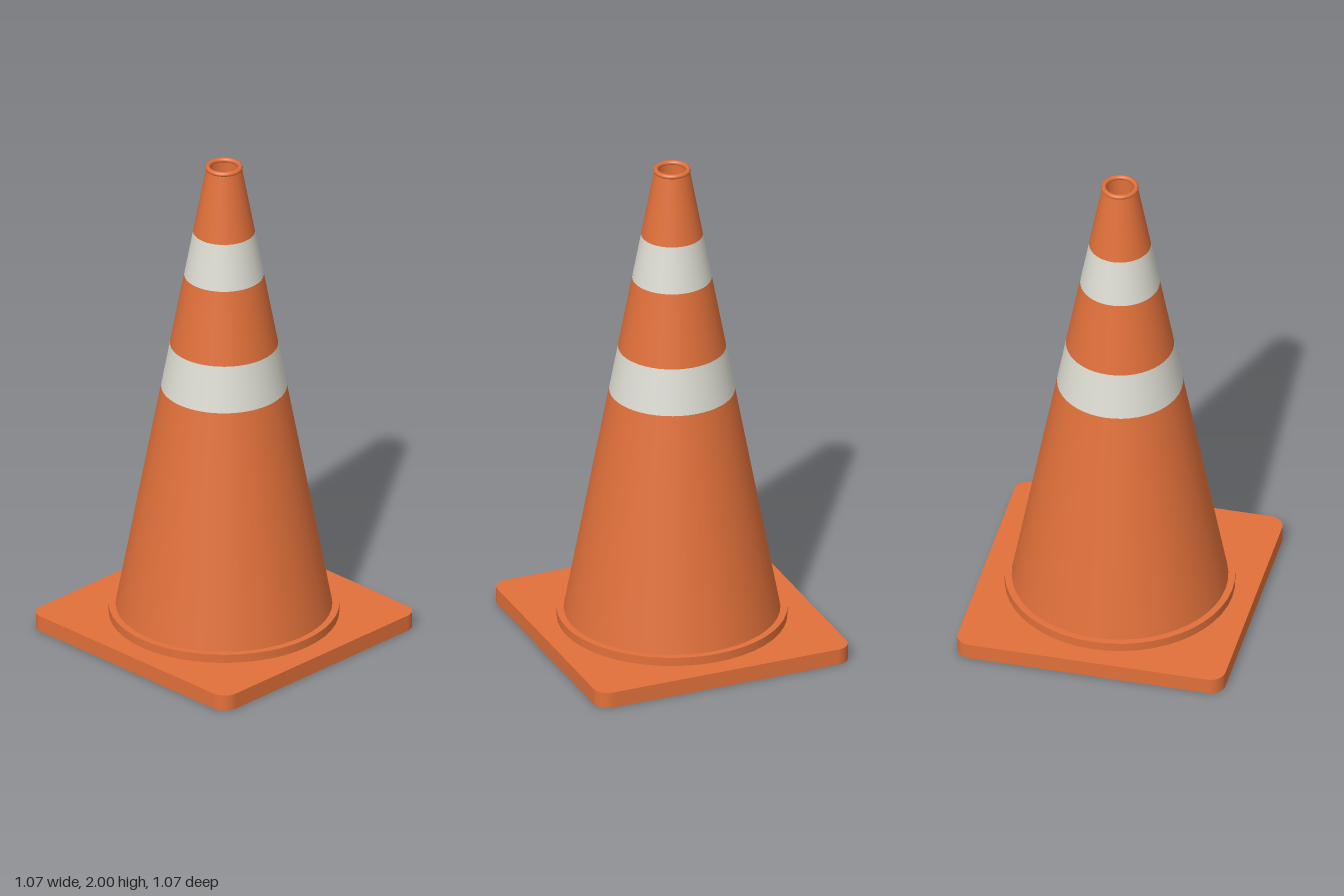
import * as THREE from 'three';

export function createModel() {
  const group = new THREE.Group();
  const orange = new THREE.MeshStandardMaterial({ color: 0xe0703a });
  orange.name = 'safety orange';
  const white = new THREE.MeshStandardMaterial({ color: 0xdcdcd2 });
  white.name = 'reflective white';
  const dark = new THREE.MeshStandardMaterial({ color: 0x3a4444 });
  dark.name = 'dark hollow';
  const SIDES = 48;

  const add = (name, geometry, material, y = 0) => {
    const mesh = new THREE.Mesh(geometry, material);
    mesh.name = name;
    mesh.position.y = y;
    group.add(mesh);
    return mesh;
  };

  // square base plate with rounded corners
  const h = 0.533, r = 0.06, c = h - r;
  const plate = new THREE.Shape();
  plate.absarc(c, c, r, 0, Math.PI / 2);
  plate.absarc(-c, c, r, Math.PI / 2, Math.PI);
  plate.absarc(-c, -c, r, Math.PI, Math.PI * 1.5);
  plate.absarc(c, -c, r, Math.PI * 1.5, Math.PI * 2);
  const plateGeometry = new THREE.ExtrudeGeometry(plate, { depth: 0.065, bevelEnabled: false, curveSegments: 8 });
  plateGeometry.rotateX(-Math.PI / 2);
  add('basePlate', plateGeometry, orange);

  // low round collar where the cone meets the plate
  add('collar', new THREE.CylinderGeometry(0.447, 0.447, 0.035, SIDES), orange, 0.0825);

  // tapering body, cut into flush coloured bands
  const radiusAt = (y) => 0.42 - (y - 0.1) * 0.186;
  const levels = [0.1, 1.045, 1.23, 1.527, 1.713, 1.985];
  const names = ['lowerCone', 'lowerStripe', 'middleCone', 'upperStripe', 'upperCone'];
  names.forEach((name, i) => {
    const [y0, y1] = [levels[i], levels[i + 1]];
    const band = new THREE.CylinderGeometry(radiusAt(y1), radiusAt(y0), y1 - y0, SIDES, 1, true);
    add(name, band, i % 2 ? white : orange, (y0 + y1) / 2);
  });

  // rounded lip around the opening
  const lip = new THREE.TorusGeometry(0.063, 0.01, 10, SIDES);
  lip.rotateX(Math.PI / 2);
  add('topLip', lip, orange, 1.99);

  // inward-facing wall and dark floor of the opening
  const wall = [new THREE.Vector2(0.056, 1.99), new THREE.Vector2(0.056, 1.86)];
  add('openingWall', new THREE.LatheGeometry(wall, SIDES), orange);
  const floor = new THREE.CircleGeometry(0.057, SIDES);
  floor.rotateX(-Math.PI / 2);
  add('openingFloor', floor, dark, 1.862);

  return group;
}
